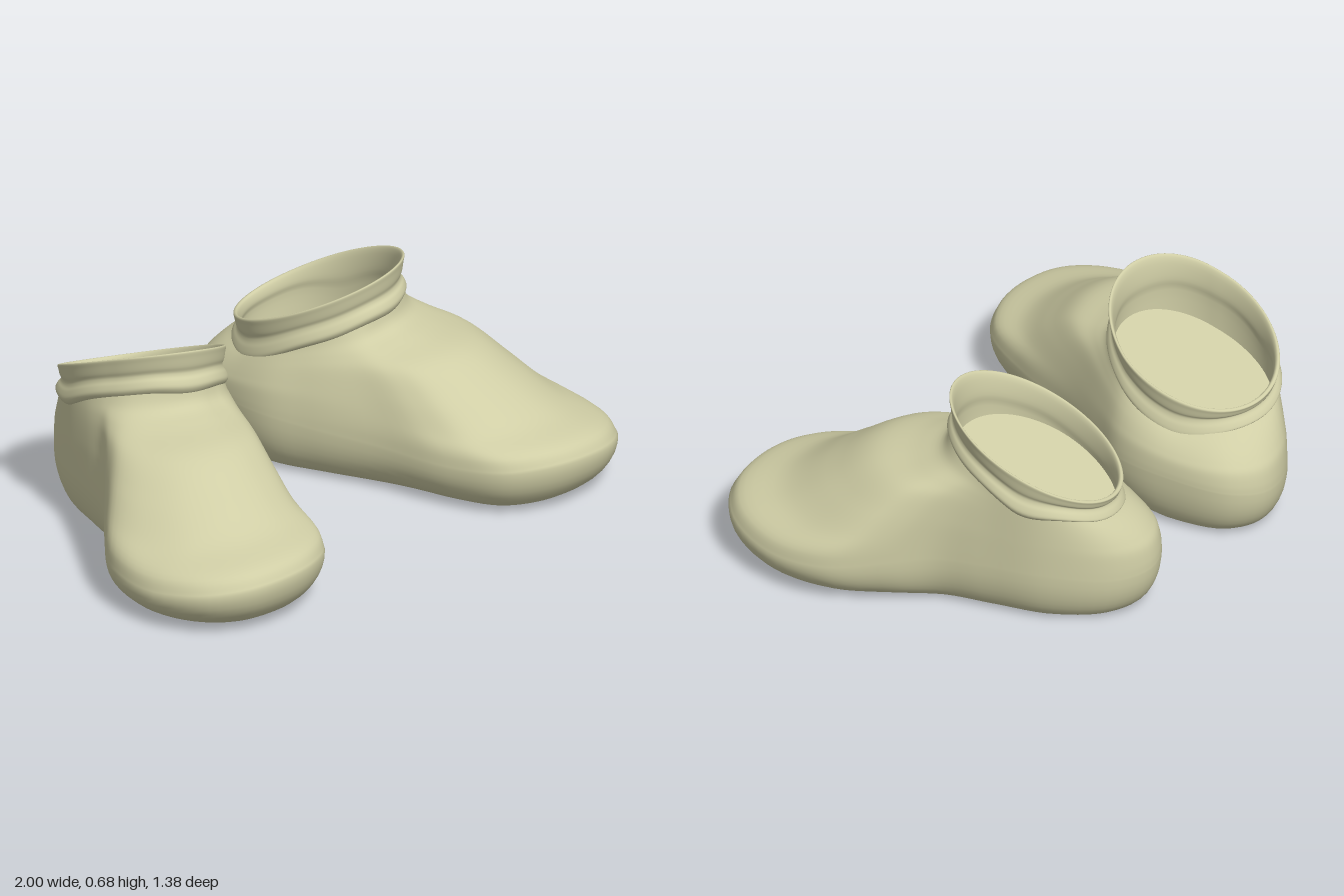
import * as THREE from 'three';

const fabric = new THREE.MeshStandardMaterial({ color: 0xcfcda5 });
fabric.name = 'pale khaki fabric';

const COLUMNS = 96;
const V3 = (x, y, z) => new THREE.Vector3(x, y, z);
const { lerp, clamp, degToRad, smoothstep } = THREE.MathUtils;

// Widest outline of the left shoe, from the toe round the outer side and heel:
// x, z, angle round the ankle, height of widest point, share of instep profile
const outline = [
  [0.66, 0.685, 3, 0.17, 1], [0.82, 0.655, 14, 0.16, 1], [0.94, 0.55, 27, 0.14, 0.95],
  [1.0, 0.35, 42, 0.12, 0.8], [0.97, 0.15, 57, 0.13, 0.6], [0.86, 0, 70, 0.15, 0.4],
  [0.75, -0.13, 82, 0.17, 0.18], [0.69, -0.28, 95, 0.18, 0.03], [0.61, -0.48, 131, 0.18, 0],
  [0.46, -0.65, 165, 0.16, 0], [0.31, -0.69, 198, 0.16, 0], [0.19, -0.62, 222, 0.18, 0],
  [0.115, -0.4, 255, 0.2, 0], [0.11, -0.24, 280, 0.2, 0.04], [0.17, -0.08, 303, 0.18, 0.2],
  [0.26, 0.15, 322, 0.16, 0.42], [0.32, 0.4, 337, 0.15, 0.7], [0.4, 0.58, 346, 0.16, 0.92],
  [0.52, 0.66, 354, 0.17, 1],
];
const edgeCurve = new THREE.CatmullRomCurve3(outline.map(([x, z, , y]) => V3(x, y, z)), true);
const neckCurve = new THREE.CatmullRomCurve3(outline.map(([, , a, , w]) =>
  V3(Math.sin(degToRad(a)), w, Math.cos(degToRad(a)))), true);

// Rise from the outline to the ankle: run along the ground, rise
const profile = (pts) => new THREE.CatmullRomCurve3(pts.map(([u, f]) => V3(u, f, 0)));
const instep = profile([[0, 0], [0.05, 0.12], [0.25, 0.23], [0.45, 0.45], [0.65, 0.67],
  [0.85, 0.75], [0.96, 0.82], [1, 1]]);
const heel = profile([[0, 0], [0.02, 0.17], [0.1, 0.4], [0.25, 0.55], [0.45, 0.7],
  [0.65, 0.82], [0.85, 0.92], [1, 1]]);

// Cuff section from its lower hem, over the rim and down inside: scale, drop below rim
const cuffSection = new THREE.CatmullRomCurve3([[0.93, 0.15], [1.0, 0.145], [1.035, 0.125],
  [1.01, 0.1], [0.975, 0.082], [0.965, 0.068], [0.985, 0.05], [1.0, 0.02], [1.01, 0], [0.98, -0.003],
  [0.95, 0.02], [0.93, 0.08], [0.95, 0.13], [0.93, 0.33]].map(([s, d]) => V3(s, d, 0)));

// Point on the tilted ankle oval
function anklePoint(sx, cz, scale, drop) {
  const x = 0.42 + 0.25 * sx * scale;
  const z = -0.29 + 0.295 * cz * scale;
  const rim = 0.55 + 0.2 * (x - 0.42) + 0.4 * (z + 0.29);
  return V3(x, rim - drop * lerp(0.5, 0.92, smoothstep(cz, -1, -0.3)), z);
}

const ring = (fn) => Array.from({ length: COLUMNS }, (_, i) => fn(i / COLUMNS));

// Smooth skin through closed rings; the right shoe is mirrored and turned in a little
function loft(name, rings, mirrored) {
  const positions = [];
  const index = [];
  for (const loop of rings) for (const p of loop) {
    const shift = 0.05 * clamp((0.4 - p.z) / 0.6, 0, 1);
    positions.push(mirrored ? shift - p.x : p.x, p.y, p.z);
  }
  for (let j = 0; j < rings.length - 1; j++) for (let i = 0; i < COLUMNS; i++) {
    const k = (i + 1) % COLUMNS;
    const a = j * COLUMNS + i, b = j * COLUMNS + k;
    const c = a + COLUMNS, d = b + COLUMNS;
    if (mirrored) index.push(a, c, b, b, c, d);
    else index.push(a, b, c, b, d, c);
  }
  const geometry = new THREE.BufferGeometry();
  geometry.setAttribute('position', new THREE.Float32BufferAttribute(positions, 3));
  geometry.setIndex(index);
  geometry.computeVertexNormals();
  const mesh = new THREE.Mesh(geometry, fabric);
  mesh.name = name;
  return mesh;
}

function bodyRings() {
  const rings = [ring(() => V3(0.5, 0, 0))];
  // Rounded underside, drawn in towards the middle line, most of all under the toe
  for (let j = 0; j < 10; j++) {
    const phi = (1 - j / 10) * Math.PI / 2;
    rings.push(ring((t) => {
      const p = edgeCurve.getPoint(t);
      const z = clamp(p.z, -0.38, 0.3);
      const inset = lerp(0.33, 0.45, smoothstep(p.z, -0.3, 0.5)) * (1 - Math.cos(phi));
      return V3(lerp(p.x, 0.505 + 0.34 * z, inset), p.y * (1 - Math.sin(phi)), lerp(p.z, z, inset));
    }));
  }
  // Upper, rising from the outline to the ankle
  for (let j = 0; j <= 36; j++) {
    const front = instep.getPoint(j / 36), back = heel.getPoint(j / 36);
    rings.push(ring((t) => {
      const p = edgeCurve.getPoint(t), n = neckCurve.getPoint(t);
      const w = clamp(n.y, 0, 1), len = Math.hypot(n.x, n.z);
      const top = anklePoint(n.x / len, n.z / len, 0.97, 0.115);
      const u = lerp(back.x, front.x, w), f = lerp(back.y, front.y, w);
      return V3(lerp(p.x, top.x, u), lerp(p.y, top.y, f), lerp(p.z, top.z, u));
    }));
  }
  return rings;
}

function cuffRings() {
  const rings = [];
  for (let j = 0; j <= 52; j++) {
    const s = cuffSection.getPoint(j / 52);
    rings.push(ring((t) => {
      const a = t * Math.PI * 2;
      // Gentle waviness along the lower hem
      const wave = s.y * (0.05 * Math.sin(3 * a + 1) + 0.02 * Math.sin(7 * a));
      return anklePoint(Math.sin(a), Math.cos(a), s.x, s.y + wave);
    }));
  }
  return rings;
}

function makeShoe(name, mirrored) {
  const shoe = new THREE.Group();
  shoe.name = name;
  // Floor inside the opening, sloping back like the rim
  const floorRing = (scale) => ring((t) => {
    const p = anklePoint(Math.sin(t * Math.PI * 2), Math.cos(t * Math.PI * 2), scale, 0);
    return p.setY(0.39 + 0.36 * (p.z + 0.29));
  });
  shoe.add(
    loft('shoeBody', bodyRings(), mirrored),
    loft('cuff', cuffRings(), mirrored),
    loft('innerFloor', [floorRing(0.95), floorRing(0)], mirrored),
  );
  return shoe;
}

export function createModel() {
  const model = new THREE.Group();
  model.name = 'pairOfShoes';
  model.add(makeShoe('leftShoe', false), makeShoe('rightShoe', true));
  return model;
}
